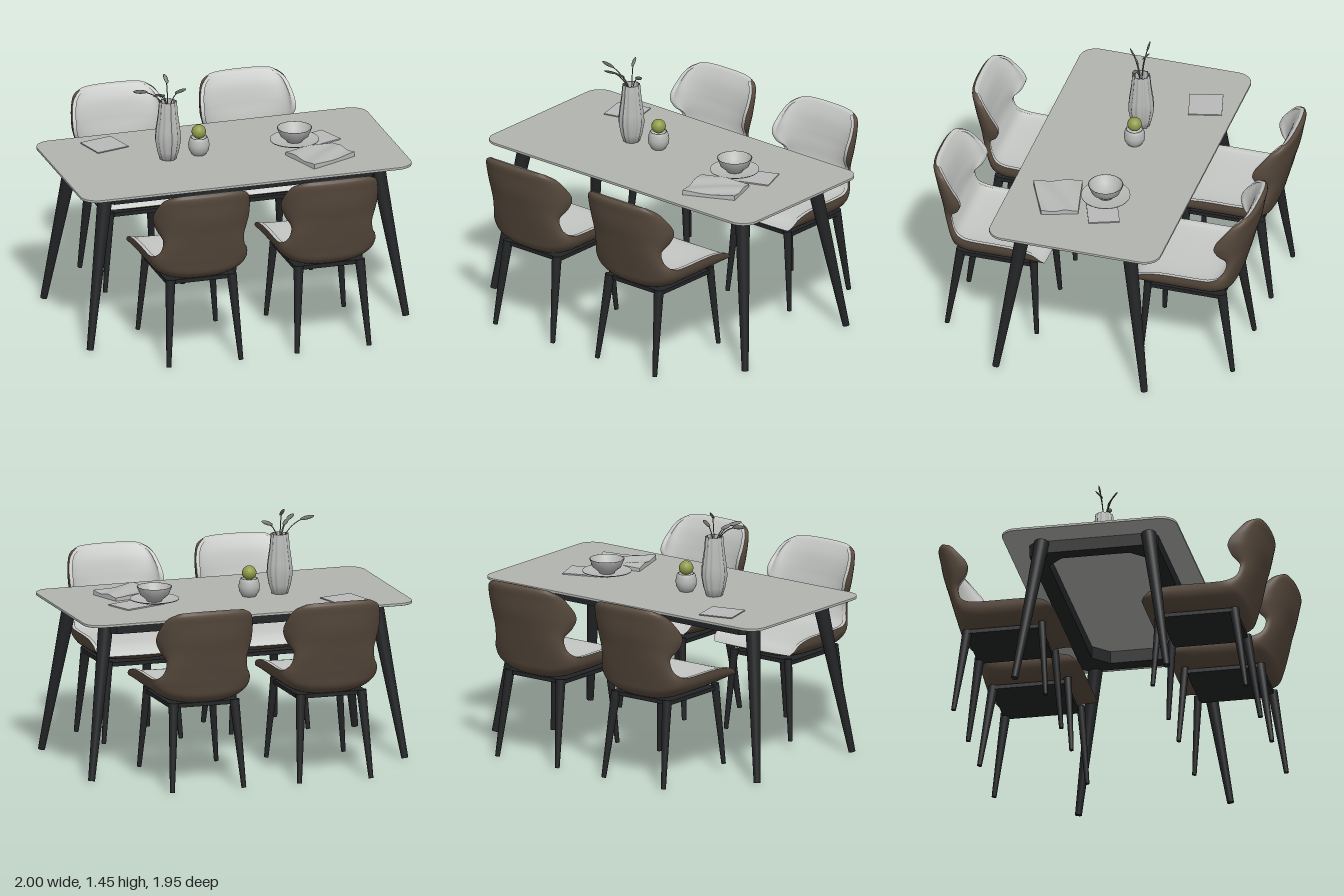
import * as THREE from 'three';

const mat = (name, color, side = THREE.FrontSide) => {
  const m = new THREE.MeshStandardMaterial({ color, side });
  m.name = name;
  return m;
};
const V = (x, y, z) => new THREE.Vector3(x, y, z);

export function createModel() {
  const stone = mat('stone grey', 0xb2b4b0);
  const leather = mat('brown leather', 0x5a4c3f, THREE.DoubleSide);
  const cushion = mat('pale grey upholstery', 0xc6c8c6, THREE.DoubleSide);
  const black = mat('black metal', 0x232426);
  const ceramic = mat('grey ceramic', 0xb8bab8, THREE.DoubleSide);
  const leafGrey = mat('dried leaf', 0x74766f);
  const green = mat('moss green', 0x8f9a48);

  const root = new THREE.Group();
  root.name = 'diningSet';
  const add = (parent, name, geo, material, x = 0, y = 0, z = 0, ry = 0) => {
    const m = new THREE.Mesh(geo, material);
    m.name = name;
    m.position.set(x, y, z);
    m.rotation.y = ry;
    parent.add(m);
    return m;
  };

  // Tapered rod between two points
  const rod = (parent, name, a, b, ra, rb, material, sides = 16) => {
    const m = add(parent, name, new THREE.CylinderGeometry(rb, ra, a.distanceTo(b), sides), material);
    m.position.copy(a).add(b).multiplyScalar(0.5);
    m.quaternion.setFromUnitVectors(V(0, 1, 0), b.clone().sub(a).normalize());
    return m;
  };

  // Smooth surface over a grid of points
  const gridSurface = (rows) => {
    const n = rows[0].length, pos = [], idx = [];
    rows.forEach((r) => r.forEach((p) => pos.push(p.x, p.y, p.z)));
    for (let i = 0; i < rows.length - 1; i++)
      for (let j = 0; j < n - 1; j++) {
        const a = i * n + j, b = a + n;
        idx.push(a, a + 1, b, b, a + 1, b + 1);
      }
    const g = new THREE.BufferGeometry();
    g.setAttribute('position', new THREE.Float32BufferAttribute(pos, 3));
    g.setIndex(idx);
    g.computeVertexNormals();
    return g;
  };

  // Flat slab lying in xz, from a shape, spanning y0..y1
  const slab = (shape, y0, y1, bevel = 0) => new THREE.ExtrudeGeometry(shape, {
    depth: y1 - y0 - 2 * bevel, bevelEnabled: bevel > 0, bevelSize: bevel,
    bevelThickness: bevel, bevelOffset: -bevel, bevelSegments: 2, curveSegments: 12,
  }).rotateX(-Math.PI / 2).translate(0, y0 + bevel, 0);

  // Polygon of a rectangle with cut corners
  const cutRect = (w, d, c) => [[w - c, -d], [w, c - d], [w, d - c], [w - c, d],
    [c - w, d], [-w, d - c], [-w, c - d], [c - w, -d]].map(([x, y]) => new THREE.Vector2(x, y));

  // ---- Table ----
  const table = new THREE.Group();
  table.name = 'table';
  root.add(table);
  const W = 1, D = 0.515, R = 0.1, topShape = new THREE.Shape();
  topShape.absarc(W - R, D - R, R, 0, Math.PI / 2);
  topShape.absarc(R - W, D - R, R, Math.PI / 2, Math.PI);
  topShape.absarc(R - W, R - D, R, Math.PI, Math.PI * 1.5);
  topShape.absarc(W - R, R - D, R, Math.PI * 1.5, Math.PI * 2);
  add(table, 'tableTop', slab(topShape, 0.922, 0.938, 0.004), stone);

  const frame = new THREE.Shape(cutRect(0.82, 0.378, 0.04));
  frame.holes.push(new THREE.Path(cutRect(0.73, 0.29, 0.09)));
  add(table, 'apronFrame', slab(frame, 0.848, 0.922), black);
  for (const sx of [-1, 1])
    for (const [zb, zt] of [[0.463, 0.33], [-0.432, -0.298]])
      rod(table, 'tableLeg', V(sx * 0.955, 0.004, zb), V(sx * 0.82, 0.915, zt), 0.02, 0.044, black, 20);

  // ---- Chairs: shell lofted from top of back to front of seat ----
  // shell centre z,y | side edge z,y | half width | cushion centre z,y
  const profile = [
    [0.955, 1.08, 0.915, 1.065, 0.20, 0.94, 1.08],
    [0.972, 1.06, 0.87, 1.03, 0.25, 0.925, 1.06],
    [0.964, 1.00, 0.82, 0.97, 0.275, 0.895, 1.00],
    [0.95, 0.92, 0.775, 0.91, 0.285, 0.875, 0.92],
    [0.94, 0.88, 0.765, 0.87, 0.284, 0.868, 0.88],
    [0.925, 0.83, 0.785, 0.82, 0.268, 0.858, 0.83],
    [0.905, 0.76, 0.828, 0.77, 0.243, 0.845, 0.75],
    [0.885, 0.69, 0.815, 0.70, 0.252, 0.825, 0.70],
    [0.862, 0.61, 0.785, 0.665, 0.275, 0.80, 0.655],
    [0.84, 0.545, 0.74, 0.648, 0.287, 0.765, 0.632],
    [0.79, 0.507, 0.66, 0.643, 0.29, 0.70, 0.622],
    [0.65, 0.50, 0.55, 0.643, 0.29, 0.60, 0.62],
    [0.45, 0.505, 0.42, 0.64, 0.292, 0.45, 0.62],
    [0.34, 0.525, 0.32, 0.622, 0.296, 0.33, 0.612],
    [0.28, 0.55, 0.278, 0.592, 0.292, 0.28, 0.59],
    [0.255, 0.565, 0.258, 0.57, 0.275, 0.26, 0.57],
  ];
  const curve = (fn) => new THREE.CatmullRomCurve3(profile.map(fn));
  const shellLine = curve((p) => V(0, p[1], p[0]));
  const edgeLine = curve((p) => V(p[4], p[3], p[2]));
  const innerLine = curve((p) => V(0, p[6], p[5]));
  const STEPS = 60, COLS = 28;

  // Rounded U section from one side edge, through the centre, to the other
  const section = (centre, edge, inset) => {
    const pts = [];
    for (let j = 0; j <= COLS; j++) {
      const a = (j / COLS - 0.5) * Math.PI, s = Math.sin(a);
      const blend = 1 - Math.pow(Math.max(Math.cos(a), 0), 0.75);
      const p = centre.clone().lerp(edge, blend);
      p.x = Math.sign(s) * Math.pow(Math.abs(s), 0.8) * (edge.x - inset);
      pts.push(p);
    }
    return pts;
  };
  const outerRows = [], innerRows = [];
  for (let i = 0; i <= STEPS; i++) {
    const t = i / STEPS, edge = edgeLine.getPoint(t);
    const outer = section(shellLine.getPoint(t), edge, 0);
    const inner = section(innerLine.getPoint(t), edge, 0.022);
    const rim = (i === 0 || i === STEPS) ? outer : inner;
    outerRows.push(outer);
    innerRows.push([outer[0], ...rim, outer[COLS]]);
  }
  const shellGeo = gridSurface(outerRows), cushionGeo = gridSurface(innerRows);

  const makeChair = (x, turn) => {
    const chair = new THREE.Group();
    chair.name = 'chair';
    add(chair, 'chairShell', shellGeo, leather);
    add(chair, 'chairCushion', cushionGeo, cushion);
    add(chair, 'seatBase', new THREE.BoxGeometry(0.42, 0.024, 0.44), black, 0, 0.496, 0.575);
    for (const s of [-1, 1]) {
      rod(chair, 'rearLeg', V(s * 0.218, 0, 0.86), V(s * 0.185, 0.51, 0.785), 0.014, 0.029, black);
      rod(chair, 'frontLeg', V(s * 0.235, 0.042, 0.315), V(s * 0.195, 0.52, 0.345), 0.013, 0.024, black);
    }
    chair.position.x = x;
    chair.rotation.y = turn;
    root.add(chair);
  };
  for (const x of [-0.385, 0.39]) {
    makeChair(x, 0);
    makeChair(x, Math.PI);
  }

  // ---- Tableware ----
  const T = 0.938;
  const lathe = (pts, sides = 40) =>
    new THREE.LatheGeometry(pts.map(([r, y]) => new THREE.Vector2(r, y)), sides);

  // Fluted vase: pleats pushed in and out around the lathe
  const vaseGeo = lathe([[0.001, 0], [0.045, 0], [0.06, 0.05], [0.072, 0.12], [0.068, 0.18],
    [0.056, 0.27], [0.049, 0.352], [0.041, 0.352], [0.045, 0.25], [0.05, 0.15], [0.001, 0.14]], 48);
  const vp = vaseGeo.attributes.position;
  for (let i = 0; i < vp.count; i++) {
    const k = 1 + 0.07 * Math.cos(12 * Math.atan2(vp.getX(i), vp.getZ(i)));
    vp.setX(i, vp.getX(i) * k);
    vp.setZ(i, vp.getZ(i) * k);
  }
  vaseGeo.computeVertexNormals();
  add(root, 'vase', vaseGeo, ceramic, -0.33, T, -0.028);

  // Sprigs: stem and a leaf pointing along its tip
  for (const [x, y, z, len] of [[-0.50, 1.37, -0.02, 0.045], [-0.42, 1.365, 0.05, 0.04],
    [-0.335, 1.42, -0.055, 0.032], [-0.26, 1.352, -0.01, 0.035], [-0.38, 1.345, 0.015, 0.03]]) {
    const path = new THREE.QuadraticBezierCurve3(V(-0.33, 1.2, -0.028),
      V(-0.33 + (x + 0.33) * 0.25, y - 0.02, -0.028 + (z + 0.028) * 0.3), V(x, y, z));
    add(root, 'stem', new THREE.TubeGeometry(path, 12, 0.003, 5), leafGrey);
    const leaf = add(root, 'leaf', new THREE.SphereGeometry(1, 10, 8), leafGrey, x, y, z);
    leaf.scale.set(0.012, len, 0.005);
    leaf.quaternion.setFromUnitVectors(V(0, 1, 0), path.getTangent(1));
  }

  // Small pot with a moss ball
  add(root, 'pot', lathe([[0.001, 0], [0.04, 0], [0.058, 0.03], [0.062, 0.06], [0.056, 0.09],
    [0.05, 0.105], [0.044, 0.105], [0.046, 0.08], [0.001, 0.075]]), ceramic, -0.138, T, -0.045);
  add(root, 'mossBall', new THREE.SphereGeometry(0.042, 20, 14), green, -0.138, 1.075, -0.045);

  // Plate and bowl
  add(root, 'plate', lathe([[0.001, 0.006], [0.08, 0.006], [0.142, 0.024], [0.142, 0.029],
    [0.08, 0.013], [0.001, 0.013]], 48), ceramic, 0.44, T, -0.045);
  add(root, 'bowl', lathe([[0.001, 0.012], [0.045, 0.012], [0.05, 0.024], [0.082, 0.05], [0.102, 0.098],
    [0.096, 0.098], [0.075, 0.054], [0.04, 0.032], [0.001, 0.03]], 48), ceramic, 0.44, T, -0.045);

  // Place mat, card and folded cloth
  add(root, 'placeMat', new THREE.BoxGeometry(0.27, 0.007, 0.18), ceramic, 0.555, T + 0.0035, -0.06, 0.365);
  add(root, 'card', new THREE.BoxGeometry(0.205, 0.006, 0.195), ceramic, -0.62, T + 0.008, -0.33, 0.25);
  const clothGeo = new THREE.BoxGeometry(0.31, 0.022, 0.25, 24, 1, 14);
  const cp = clothGeo.attributes.position;
  for (let i = 0; i < cp.count; i++) {
    const x = cp.getX(i), z = cp.getZ(i);
    if (cp.getY(i) > 0) cp.setY(i, 0.013 + 0.005 * Math.sin(38 * (x * 0.5 + z)));
    cp.setZ(i, z * (1 - x * 0.9));
  }
  clothGeo.computeVertexNormals();
  add(root, 'foldedCloth', clothGeo, ceramic, 0.525, T + 0.012, 0.212, 0.32);

  return root;
}
